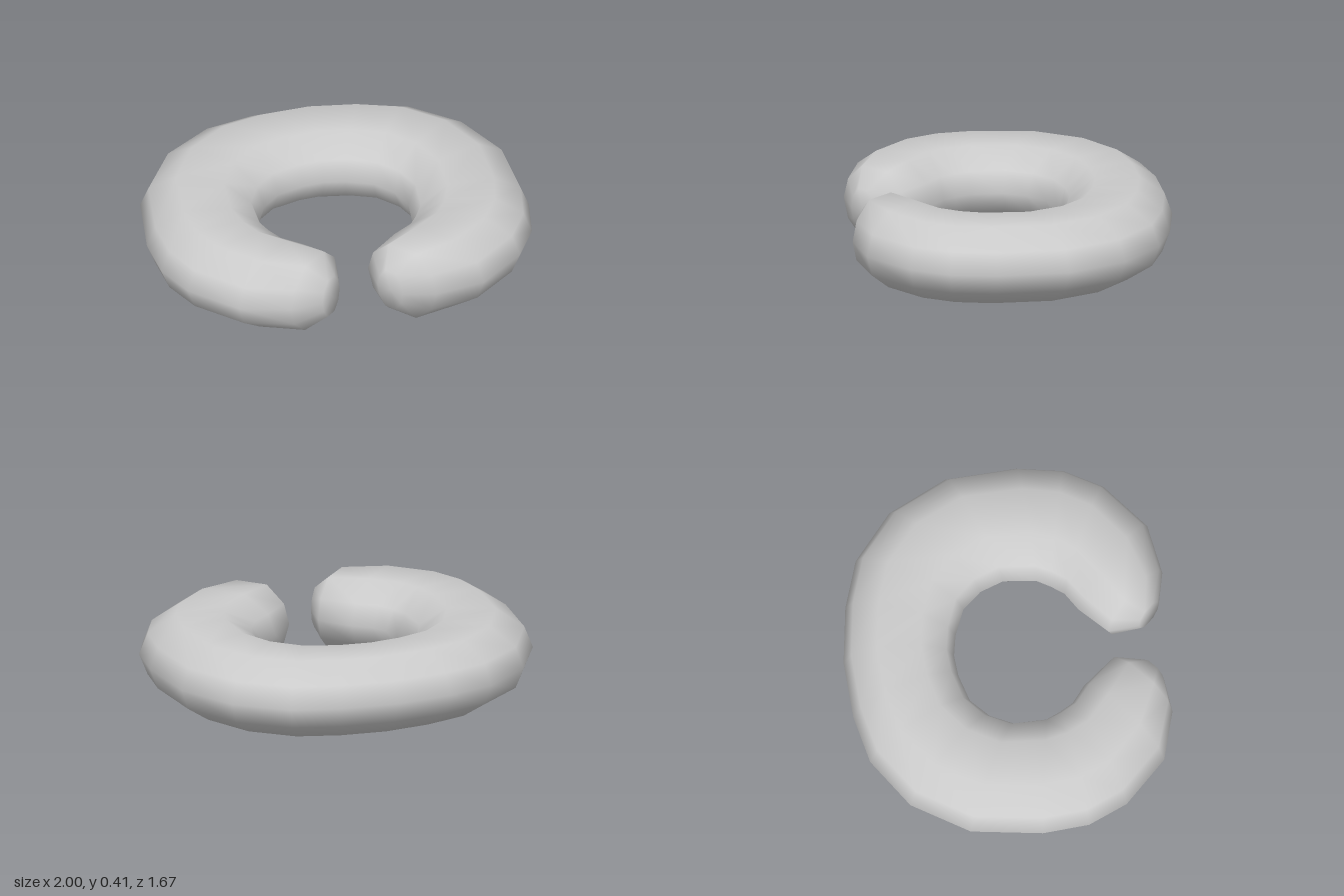
import * as THREE from 'three';

// Stations of the left half, back to tip: outer x, outer z, inner x, inner z, half height
const HALF = [
  [0, -0.84, 0, -0.27, 0.205],
  [0.3, -0.81, 0.11, -0.255, 0.205],
  [0.55, -0.74, 0.25, -0.205, 0.205],
  [0.8, -0.55, 0.34, -0.11, 0.205],
  [0.965, -0.25, 0.39, 0.01, 0.205],
  [1, 0.12, 0.38, 0.18, 0.205],
  [0.97, 0.36, 0.345, 0.25, 0.205],
  [0.87, 0.56, 0.3, 0.32, 0.205],
  [0.64, 0.77, 0.21, 0.385, 0.205],
  [0.38, 0.83, 0.08, 0.53, 0.197],
  [0.21, 0.8, 0.1, 0.69, 0.11],
];

// Cross-section loop: fraction from outer to inner edge, fraction of half height
const SECTION = [
  [0, 0], [0.07, 0.54], [0.3, 1], [0.7, 1], [0.93, 0.54],
  [1, 0], [0.93, -0.54], [0.7, -1], [0.3, -1], [0.07, -0.54],
];
const MID_Y = 0.21;

function ringGeometry() {
  const mirrored = HALF.slice(1).reverse().map(([ox, oz, ix, iz, h]) => [-ox, oz, -ix, iz, h]);
  const stations = [...mirrored, ...HALF];
  const n = SECTION.length;
  const positions = [];
  const index = [];

  for (const [ox, oz, ix, iz, h] of stations) {
    for (const [t, v] of SECTION) {
      positions.push(ox + (ix - ox) * t, MID_Y + h * v, oz + (iz - oz) * t);
    }
  }

  // Skin between neighbouring sections
  for (let i = 0; i < stations.length - 1; i++) {
    for (let j = 0; j < n; j++) {
      const k = (j + 1) % n;
      const a = i * n + j, b = i * n + k, c = b + n, d = a + n;
      index.push(a, b, c, a, c, d);
    }
  }

  // Closed, rounded tips
  for (const last of [false, true]) {
    const s = last ? stations.length - 1 : 0;
    const [ox, oz, ix, iz] = stations[s];
    const centre = positions.length / 3;
    positions.push((ox + ix) / 2, MID_Y, (oz + iz) / 2);
    for (let j = 0; j < n; j++) {
      const a = s * n + j, b = s * n + (j + 1) % n;
      if (last) index.push(centre, a, b);
      else index.push(centre, b, a);
    }
  }

  const geometry = new THREE.BufferGeometry();
  geometry.setAttribute('position', new THREE.Float32BufferAttribute(positions, 3));
  geometry.setIndex(index);
  geometry.computeVertexNormals();
  return geometry;
}

export function createModel() {
  const group = new THREE.Group();
  group.name = 'openRing';
  const cushion = new THREE.Mesh(ringGeometry(), new THREE.MeshStandardMaterial({ color: 0xcccccc }));
  cushion.name = 'ringCushion';
  group.add(cushion);
  return group;
}
